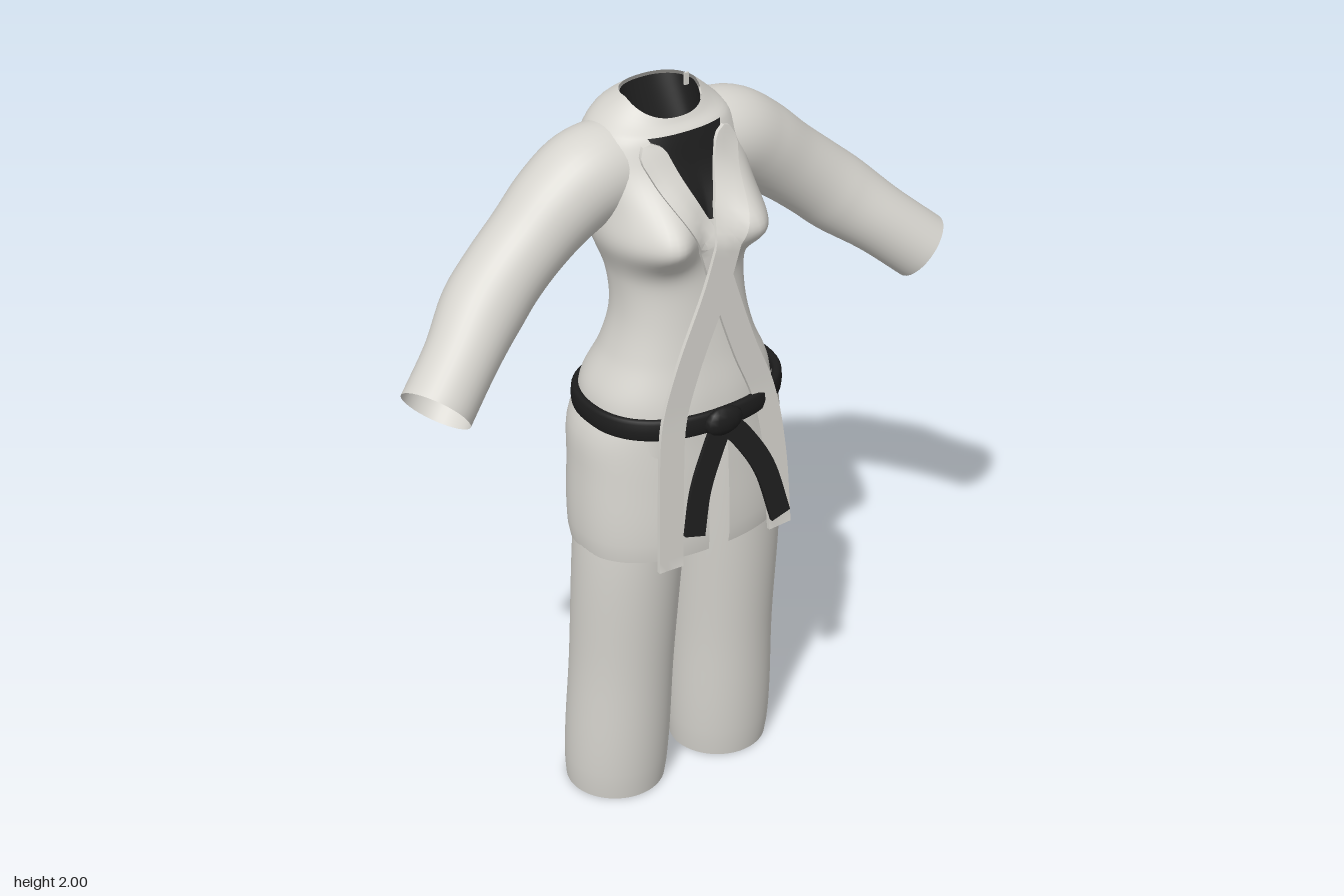
import * as THREE from 'three';
import { toCreasedNormals } from 'three/addons/utils/BufferGeometryUtils.js';

const cloth = new THREE.MeshStandardMaterial({ color: 0xd6d4ce, side: THREE.DoubleSide });
cloth.name = 'offWhiteCloth';
const dark = new THREE.MeshStandardMaterial({ color: 0x1d1d1d, side: THREE.DoubleSide });
dark.name = 'blackCloth';

// Skin a list of equally long rings of [x, y, z]
function loft(rings, { closed = true, caps = false } = {}) {
  const n = rings[0].length, pos = rings.flat(2), idx = [];
  for (let i = 0; i < rings.length - 1; i++) {
    for (let j = 0; j < (closed ? n : n - 1); j++) {
      const k = (j + 1) % n, a = i * n + j, b = i * n + k, c = a + n, d = b + n;
      idx.push(a, b, d, a, d, c);
    }
  }
  if (caps) {
    const last = (rings.length - 1) * n;
    for (let j = 1; j < n - 1; j++) idx.push(0, j + 1, j, last, last + j, last + j + 1);
  }
  const g = new THREE.BufferGeometry();
  g.setAttribute('position', new THREE.Float32BufferAttribute(pos, 3));
  g.setIndex(idx);
  g.computeVertexNormals();
  return g;
}

// Smooth lookup in a table whose first column is the key
function table(rows) {
  const width = rows[0].length - 1;
  const it = new THREE.CubicInterpolant(rows.map(r => r[0]), rows.flatMap(r => r.slice(1)), width, new Array(width));
  return t => Array.from(it.evaluate(t));
}

const range = (n, a, b) => Array.from({ length: n + 1 }, (_, i) => a + (b - a) * i / n);
const N = 2.3; // squareness of the body sections

function oval(a, w, front, back) {
  const s = Math.sin(a), c = Math.cos(a);
  return [w * Math.sign(s) * Math.abs(s) ** (2 / N),
    (front + back) / 2 + (front - back) / 2 * Math.sign(c) * Math.abs(c) ** (2 / N)];
}

// Torso: height, half width, front z, back z
const torsoAt = table([
  [1.12, 0.25, 0.16, -0.215], [1.2, 0.24, 0.15, -0.213], [1.3, 0.195, 0.13, -0.172],
  [1.4, 0.17, 0.115, -0.15], [1.5, 0.172, 0.105, -0.165], [1.6, 0.2, 0.105, -0.205],
  [1.7, 0.205, 0.085, -0.232], [1.78, 0.205, 0.05, -0.238], [1.85, 0.18, 0.025, -0.232],
  [1.89, 0.14, 0.005, -0.215], [1.925, 0.098, -0.005, -0.17]]);

function bust(x, y, c) {
  const v = (y - 1.63) / (y < 1.63 ? 0.07 : 0.09), u = (Math.abs(x) - 0.11) / 0.075;
  return 0.085 * Math.exp(-u * u - v * v) * Math.min(1, Math.max(0, c * 2));
}

function torsoPoint(a, y) {
  const [w, f, b] = torsoAt(y);
  let [x, z] = oval(a, w, f, b);
  const c = Math.cos(a);
  z += bust(x, y, c);
  x *= 1 + 0.12 * Math.exp(-(((y - 1.61) / 0.06) ** 2)) * Math.max(0, c + 0.3) / 1.3;
  const top = Math.max(0, (y - 1.85) / 0.075);
  return [x, y - 0.045 * top * Math.max(0, c), z];
}

function surfaceZ(x, y, side = 1) {
  const [w, f, b] = torsoAt(y);
  const c = (1 - Math.min(1, Math.abs(x) / w) ** N) ** (1 / N);
  return (f + b) / 2 + side * (f - b) / 2 * c + (side > 0 ? bust(x, y, c) : 0);
}

// Flat strip along a path in x and y, with its depth given by a rule
function ribbon(pts, width, thick, zAt, rounded = false) {
  const curve = new THREE.CatmullRomCurve3(pts.map(p => new THREE.Vector3(p[0], p[1], 0)));
  const rings = range(48, 0, 1).map(t => {
    const p = curve.getPoint(t), d = curve.getTangent(t);
    const w = width / 2 * (rounded ? Math.min(1, 0.3 + Math.sqrt(t * 14)) : 1);
    const edge = [-1, -0.33, 0.33, 1].map(u => [p.x - d.y * u * w, p.y + d.x * u * w]);
    return [...edge.map(([x, y]) => [x, y, zAt(x, y) + thick]),
      ...edge.reverse().map(([x, y]) => [x, y, zAt(x, y)])];
  });
  return toCreasedNormals(loft(rings, { caps: true }), 0.7);
}

export function createModel() {
  const model = new THREE.Group();
  const add = (name, geo, mat) => {
    const m = new THREE.Mesh(geo, mat);
    m.name = name;
    model.add(m);
    return m;
  };
  const turn = range(72, 0, Math.PI * 2).slice(0, -1);

  // Jacket body, open at the neck
  add('jacketBody', loft(range(70, 1.12, 1.925).map(y => turn.map(a => torsoPoint(a, y)))), cloth);

  // Jacket skirt, split down the front
  const skirtAt = table([[0.775, 0.284, 0.162, -0.212], [0.8, 0.288, 0.165, -0.217],
    [1.0, 0.284, 0.16, -0.222], [1.1, 0.276, 0.155, -0.228], [1.17, 0.25, 0.155, -0.218]]);
  add('jacketSkirt', loft(range(16, 0.775, 1.17).map(y => range(72, 0.075, Math.PI * 2 - 0.075).map(a => {
    const [x, z] = oval(a, ...skirtAt(y));
    return [x, y, z];
  })), { closed: false }), cloth);

  // Sleeves: centre and radius along the arm
  const arm = [[0.11, 1.755, -0.1, 0.115], [0.2, 1.745, -0.1, 0.118], [0.28, 1.7, -0.1, 0.112],
    [0.37, 1.63, -0.093, 0.102], [0.45, 1.565, -0.082, 0.1], [0.52, 1.505, -0.062, 0.1],
    [0.61, 1.43, -0.012, 0.089], [0.709, 1.345, 0.036, 0.088]];
  const armCurve = new THREE.CatmullRomCurve3(arm.map(p => new THREE.Vector3(p[0], p[1], p[2])));
  const armRadius = table(arm.map((p, i) => [i / (arm.length - 1), p[3]]));
  for (const s of [1, -1]) {
    add(s > 0 ? 'leftSleeve' : 'rightSleeve', loft(range(40, 0, 1).map(t => {
      const p = armCurve.getPoint(t), d = armCurve.getTangent(t), [r] = armRadius(t);
      const u = new THREE.Vector3().crossVectors(d, new THREE.Vector3(0, 0, 1)).normalize();
      const v = new THREE.Vector3().crossVectors(u, d);
      return turn.filter((_, i) => i % 2 === 0).map(a => {
        const q = p.clone().addScaledVector(u, r * Math.cos(a)).addScaledVector(v, r * Math.sin(a));
        return [s * q.x, q.y, q.z];
      });
    })), cloth);
  }

  // Trouser legs: height, centre x, radius x, centre z, radius z
  const legAt = table([[0, 0.164, 0.129, -0.07, 0.13], [0.03, 0.164, 0.133, -0.068, 0.133],
    [0.4, 0.156, 0.134, -0.045, 0.137], [0.78, 0.147, 0.138, -0.02, 0.145],
    [1.0, 0.13, 0.13, -0.02, 0.155], [1.12, 0.12, 0.12, -0.02, 0.16]]);
  for (const s of [1, -1]) {
    add(s > 0 ? 'leftTrouserLeg' : 'rightTrouserLeg', loft(range(28, 0, 1.12).map(y => {
      const [cx, rx, cz, rz] = legAt(y);
      return turn.map(a => [s * (cx + rx * Math.sin(a)), y, cz + rz * Math.cos(a)]);
    })), cloth);
  }

  // Dark undershirt: chest panel and inner neck
  add('undershirtChest', loft(range(14, 1.66, 1.855).map(y => {
    const w = 0.012 + 0.09 * (y - 1.66) / 0.195;
    return range(10, -w, w).map(x => [x, y, surfaceZ(x, y) + 0.005]);
  }), { closed: false }), dark);
  add('undershirtNeck', loft(range(6, 0, 1).map(t => turn.map(a => {
    const [x, z] = oval(a, 0.095, -0.008, -0.167 + 0.055 * t);
    return [x, 1.918 - 0.045 * Math.max(0, Math.cos(a)) - 0.12 * t, z];
  }))), dark);

  // Lapels hang straight from the bust to the hem
  const hang = y => y > 1.62 ? 0.15 * (1.85 - y) / 0.23 : y > 1.2 ? 0.15 + 0.01 * (1.62 - y) / 0.42
    : 0.16 + 0.025 * (1.2 - y) / 0.42;
  const lapelZ = lift => (x, y) => Math.max(surfaceZ(x, y) + 0.006, hang(y)) + lift;
  add('underLapel', ribbon([[-0.112, 1.845], [-0.075, 1.74], [-0.025, 1.62], [0.01, 1.5], [0.07, 1.32],
    [0.125, 1.18], [0.155, 1.0], [0.165, 0.79]], 0.066, 0.01, lapelZ(0), true), cloth);
  add('overLapel', ribbon([[0.105, 1.845], [0.065, 1.74], [0.022, 1.62], [-0.02, 1.5], [-0.1, 1.32],
    [-0.145, 1.18], [-0.16, 1.0], [-0.17, 0.79]], 0.07, 0.01, lapelZ(0.009), true), cloth);

  // Belt band
  add('belt', loft(turn.concat(0).map(a => range(12, 0, Math.PI * 2).slice(0, -1).map(b => {
    const out = 0.013 * Math.cos(b);
    const [x, z] = oval(a, 0.254 + out, 0.178 + out, -0.218 - out);
    return [x, 1.156 + 0.028 * Math.sign(Math.sin(b)) * Math.sqrt(Math.abs(Math.sin(b))), z];
  }))), dark);

  // Belt knot and hanging ends
  const knot = add('beltKnot', new THREE.SphereGeometry(1, 12, 8), dark);
  knot.scale.set(0.055, 0.038, 0.022);
  knot.position.set(-0.012, 1.158, 0.195);
  const tailZ = (x, y) => 0.188 + 0.045 * Math.max(0, (1.15 - y) / 0.28);
  add('rightBeltEnd', ribbon([[-0.005, 1.165], [-0.05, 1.09], [-0.095, 1.0], [-0.125, 0.89]], 0.058, 0.01, tailZ), dark);
  add('leftBeltEnd', ribbon([[-0.015, 1.165], [0.045, 1.09], [0.095, 1.0], [0.13, 0.86]], 0.058, 0.01, tailZ), dark);

  // Patch behind the collar and a loose loop above it
  add('backPatch', ribbon([[0.035, 1.858], [0.09, 1.802]], 0.062, 0.005,
    (x, y) => surfaceZ(x, y, -1) - 0.009), cloth);
  const loop = add('looseLoop', new THREE.BoxGeometry(0.012, 0.03, 0.005), cloth);
  loop.position.set(0, 1.985, 0.02);

  return model;
}
